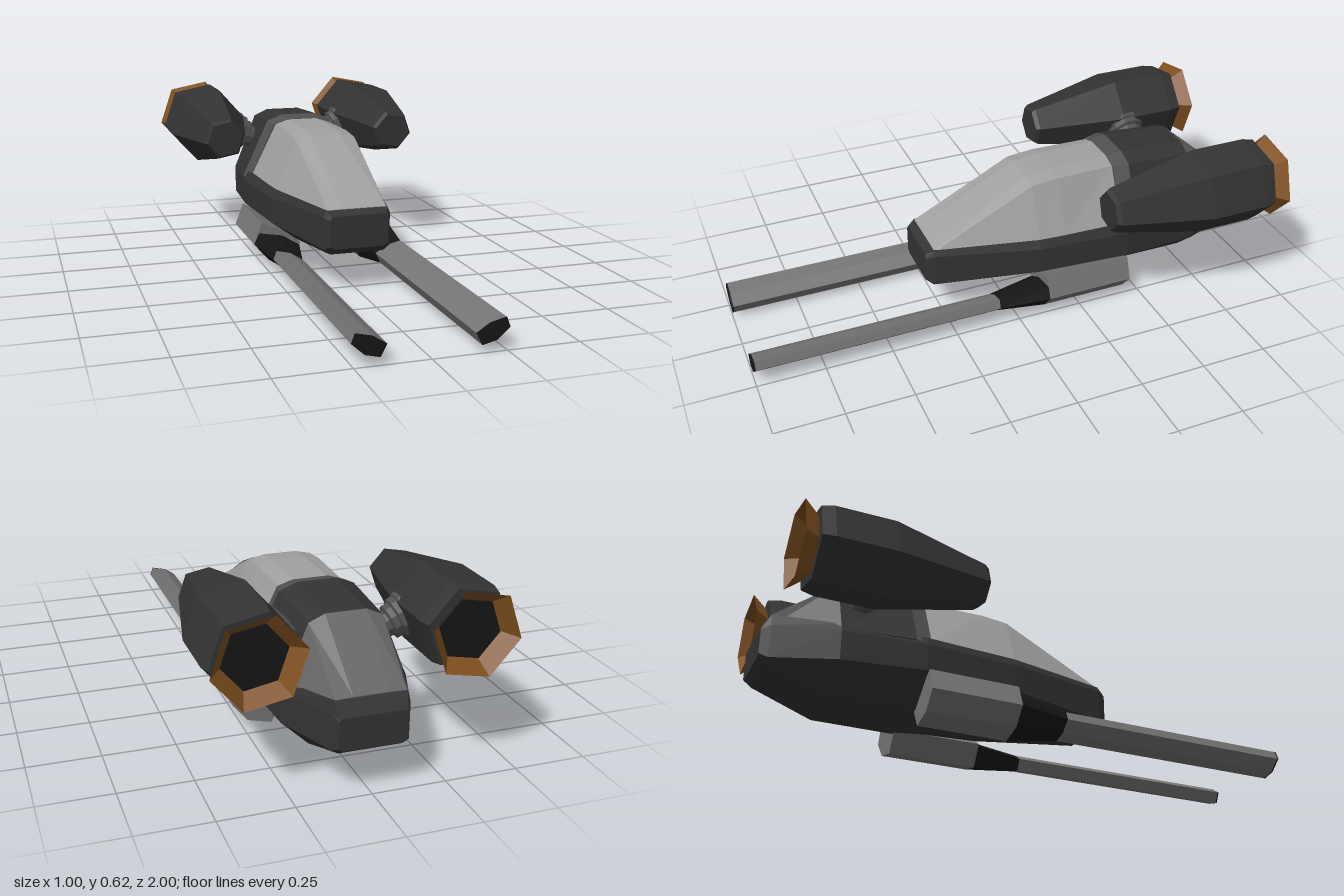
import * as THREE from 'three';

const paint = (color, side = THREE.FrontSide) =>
  new THREE.MeshStandardMaterial({ color, side, flatShading: true });
const dark = paint(0x333333);
const black = paint(0x161616);
const trim = paint(0x505050);
const steel = paint(0x757575);
const panel = paint(0x666666);
const glass = paint(0xa0a0a0);
const bronze = paint(0x80501f, THREE.DoubleSide);

// Loft through rings of [x, y, z], front to back, each counter-clockwise seen from +z
function loft(name, rings, material, capped = true) {
  const pos = [];
  const tri = (a, b, c) => pos.push(...a, ...b, ...c);
  const n = rings[0].length;
  for (let r = 0; r < rings.length - 1; r++) {
    const f = rings[r], k = rings[r + 1];
    for (let i = 0; i < n; i++) {
      const j = (i + 1) % n;
      tri(f[i], k[i], k[j]);
      tri(f[i], k[j], f[j]);
    }
  }
  if (capped) {
    const f = rings[0], k = rings[rings.length - 1];
    for (let i = 1; i < n - 1; i++) {
      tri(f[0], f[i], f[i + 1]);
      tri(k[0], k[i + 1], k[i]);
    }
  }
  const geo = new THREE.BufferGeometry();
  geo.setAttribute('position', new THREE.Float32BufferAttribute(pos, 3));
  geo.computeVertexNormals();
  const mesh = new THREE.Mesh(geo, material);
  mesh.name = name;
  return mesh;
}

// Symmetric ring from the +x half, listed bottom to top
const sym = (z, half) => [
  ...half.map(([x, y]) => [x, y, z]),
  ...half.slice().reverse().map(([x, y]) => [-x, y, z]),
];
// Ring for one side of the craft; the -x side is mirrored and reversed
const sideRing = (s, z, pts) => {
  const ring = pts.map(([x, y]) => [s * x, y, z]);
  return s > 0 ? ring : ring.reverse();
};
const hexagon = (r) => Array.from({ length: 6 }, (_, i) => {
  const a = (-10 + 60 * i - 1) * Math.PI / 180;
  return [0.35 + r * Math.cos(a), 0.472 + r * Math.sin(a)];
});

function hull() {
  // z, half width, bottom half width, bottom y, chine y, shoulder y, deck half width, deck y
  const stations = [
    [0.315, 0.11, 0.09, 0.165, 0.175, 0.27, 0.1, 0.285],
    [0.285, 0.125, 0.1, 0.14, 0.16, 0.28, 0.115, 0.302],
    [-0.1, 0.215, 0.12, 0.1, 0.17, 0.27, 0.2, 0.302],
    [-0.45, 0.24, 0.12, 0.07, 0.17, 0.27, 0.225, 0.302],
    [-0.75, 0.215, 0.12, 0.07, 0.16, 0.27, 0.2, 0.302],
    [-0.97, 0.13, 0.105, 0.145, 0.16, 0.28, 0.12, 0.325],
    [-1, 0.115, 0.1, 0.165, 0.175, 0.265, 0.11, 0.275],
  ];
  return loft('hull', stations.map(([z, w, bw, yb, yc, ys, dw, yd]) =>
    sym(z, [[bw, yb], [w, yc], [w, ys], [dw, yd]])), dark);
}

function upperBody() {
  const g = new THREE.Group();
  g.name = 'upperBody';
  g.add(loft('canopy', [
    sym(0.285, [[0.115, 0.295], [0.11, 0.302], [0.06, 0.304]]),
    sym(-0.1, [[0.2, 0.295], [0.118, 0.49], [0.06, 0.503]]),
    sym(-0.2, [[0.207, 0.295], [0.118, 0.5], [0.06, 0.515]]),
    sym(-0.43, [[0.215, 0.295], [0.112, 0.5], [0.06, 0.517]]),
  ], glass));
  const front = sym(-0.43, [[0.225, 0.28], [0.12, 0.5], [0.065, 0.518]]);
  const raised = sym(-0.49, [[0.238, 0.28], [0.133, 0.505], [0.07, 0.53]]);
  const rear = sym(-0.75, [[0.21, 0.28], [0.125, 0.49], [0.07, 0.515]]);
  g.add(loft('canopyFrame', [front, raised], trim));
  g.add(loft('engineCover', [raised, rear], dark));
  g.add(loft('tailPanel', [rear,
    sym(-0.97, [[0.12, 0.28], [0.118, 0.325], [0.06, 0.328]])], panel));
  return g;
}

function engine(s) {
  const g = new THREE.Group();
  g.name = s > 0 ? 'leftEngine' : 'rightEngine';
  const rings = (list) => list.map(([z, r]) => sideRing(s, z, hexagon(r)));
  g.add(loft('nacelle', rings([
    [-0.295, 0.072], [-0.31, 0.083], [-0.65, 0.155], [-0.865, 0.155], [-0.91, 0.145], [-0.91, 0.11],
  ]), dark, true));
  g.add(loft('exhaustCore', rings([[-0.9, 0.11], [-0.915, 0.108]]), black));
  g.add(loft('nozzle', rings([[-0.908, 0.108], [-0.965, 0.155]]), bronze, false));

  // Stepped pivot joining nacelle and hull
  const profile = [[0, 0], [0.045, 0], [0.045, 0.04], [0.06, 0.045], [0.06, 0.065],
    [0.072, 0.07], [0.072, 0.09], [0.08, 0.095], [0.08, 0.13], [0, 0.13]]
    .map(([x, y]) => new THREE.Vector2(x, y));
  const pivot = new THREE.Mesh(new THREE.LatheGeometry(profile, 10), trim);
  pivot.name = 'pivot';
  pivot.position.set(s * 0.145, 0.405, -0.67);
  pivot.rotation.z = -s * 1.15;
  g.add(pivot);
  return g;
}

function gun(s) {
  const g = new THREE.Group();
  g.name = s > 0 ? 'leftGun' : 'rightGun';
  const pod = [[0.1, 0.08], [0.145, 0.002], [0.23, 0.023], [0.285, 0.087], [0.253, 0.17], [0.16, 0.13]];
  const collar = [[0.105, 0.073], [0.145, 0.002], [0.23, 0.023], [0.285, 0.087], [0.265, 0.13], [0.175, 0.115]];
  const bore = [[0.145, 0.068], [0.165, 0.028], [0.215, 0.04], [0.257, 0.078], [0.245, 0.11], [0.19, 0.097]];
  const at = (z, pts) => sideRing(s, z, pts);
  g.add(loft('gunPod', [at(-0.11, pod), at(-0.445, pod)], steel));
  g.add(loft('gunCollar', [at(0.08, bore), at(-0.11, collar)], black));
  g.add(loft('barrel', [at(0.995, bore), at(0.08, bore)], steel));
  g.add(loft('muzzle', [at(1, bore), at(0.995, bore)], black));
  return g;
}

export function createModel() {
  const model = new THREE.Group();
  model.name = 'spacecraft';
  model.add(hull(), upperBody());
  for (const s of [1, -1]) model.add(engine(s), gun(s));
  return model;
}
